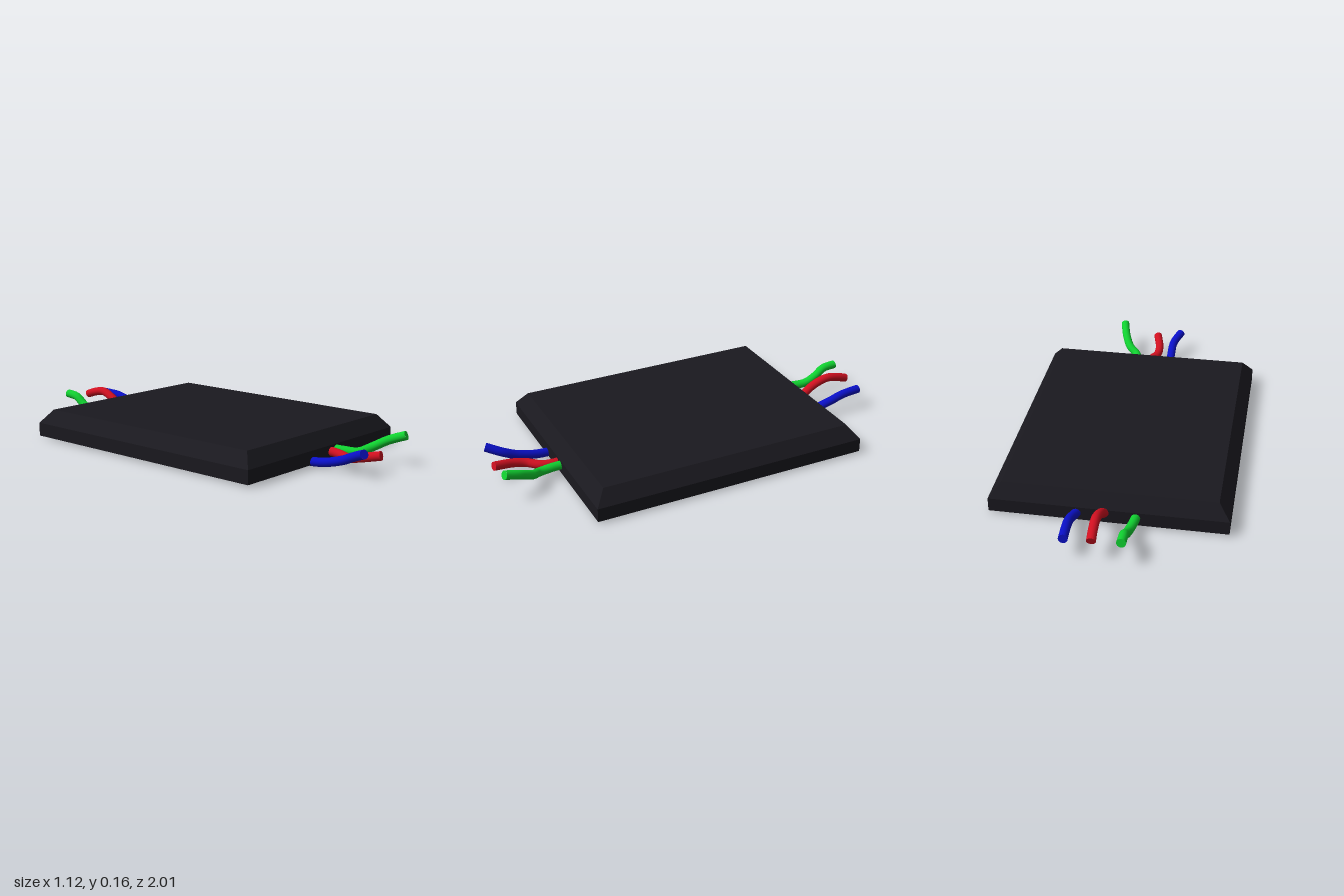
import * as THREE from 'three';

const RADIUS = 0.022;
const SIDES = 16;

// Box with straight lower walls and a chamfered upper half
function makeBody() {
  const geo = new THREE.BoxGeometry(1.12, 0.135, 1.4, 1, 2, 1);
  const p = geo.attributes.position;
  for (let i = 0; i < p.count; i++) {
    if (p.getY(i) > 0.01) {
      p.setX(i, Math.sign(p.getX(i)) * 0.505);
      p.setZ(i, Math.sign(p.getZ(i)) * 0.648);
    }
  }
  geo.computeVertexNormals();
  const mat = new THREE.MeshStandardMaterial({ color: 0x1a191f, flatShading: true });
  const mesh = new THREE.Mesh(geo, mat);
  mesh.name = 'body';
  mesh.position.set(0, 0.0775, -0.015);
  return mesh;
}

// Round wire along a smooth curve, with a flat disc on its free end
function makeWire(name, color, points) {
  const wire = new THREE.Group();
  wire.name = name;
  const curve = new THREE.CatmullRomCurve3(points.map((q) => new THREE.Vector3(...q)));
  const mat = new THREE.MeshStandardMaterial({ color });
  const tube = new THREE.Mesh(new THREE.TubeGeometry(curve, 40, RADIUS, SIDES), mat);
  tube.name = name + 'Tube';
  const cap = new THREE.Mesh(new THREE.CircleGeometry(RADIUS, SIDES), mat);
  cap.name = name + 'End';
  const end = curve.getPointAt(1);
  cap.position.copy(end);
  cap.lookAt(end.clone().add(curve.getTangentAt(1)));
  wire.add(tube, cap);
  return wire;
}

export function createModel() {
  const model = new THREE.Group();
  model.name = 'wiredModule';
  model.add(makeBody());

  const red = 0xd01020, green = 0x10d030, blue = 0x0a10c8;
  const wires = [
    // Front wires
    ['frontBlueWire', blue, [[-0.1, 0.024, 0.5], [-0.097, 0.023, 0.62], [-0.09, 0.03, 0.74],
      [-0.086, 0.055, 0.84], [-0.09, 0.085, 0.91], [-0.123, 0.115, 0.985]]],
    ['frontRedWire', red, [[0.045, 0.05, 0.62], [0.05, 0.045, 0.7], [0.035, 0.042, 0.76],
      [-0.006, 0.048, 0.82], [-0.012, 0.06, 0.88], [0.012, 0.083, 0.988]]],
    ['frontGreenWire', green, [[0.09, 0.05, 0.62], [0.092, 0.05, 0.72], [0.108, 0.052, 0.8],
      [0.153, 0.075, 0.845], [0.185, 0.112, 0.91], [0.207, 0.145, 0.995]]],
    // Back wires
    ['backGreenWire', green, [[-0.135, 0.05, -0.65], [-0.13, 0.05, -0.73], [-0.116, 0.056, -0.82],
      [-0.113, 0.085, -0.88], [-0.115, 0.12, -0.93], [-0.115, 0.129, -1.0]]],
    ['backRedWire', red, [[0.012, 0.04, -0.66], [0.015, 0.065, -0.72], [0.017, 0.108, -0.78],
      [0.022, 0.138, -0.86], [0.022, 0.128, -0.93], [0.02, 0.11, -0.985]]],
    ['backBlueWire', blue, [[0.138, 0.035, -0.65], [0.145, 0.048, -0.72], [0.155, 0.075, -0.8],
      [0.152, 0.096, -0.88], [0.146, 0.103, -0.98]]],
  ];
  for (const w of wires) model.add(makeWire(...w));
  return model;
}
